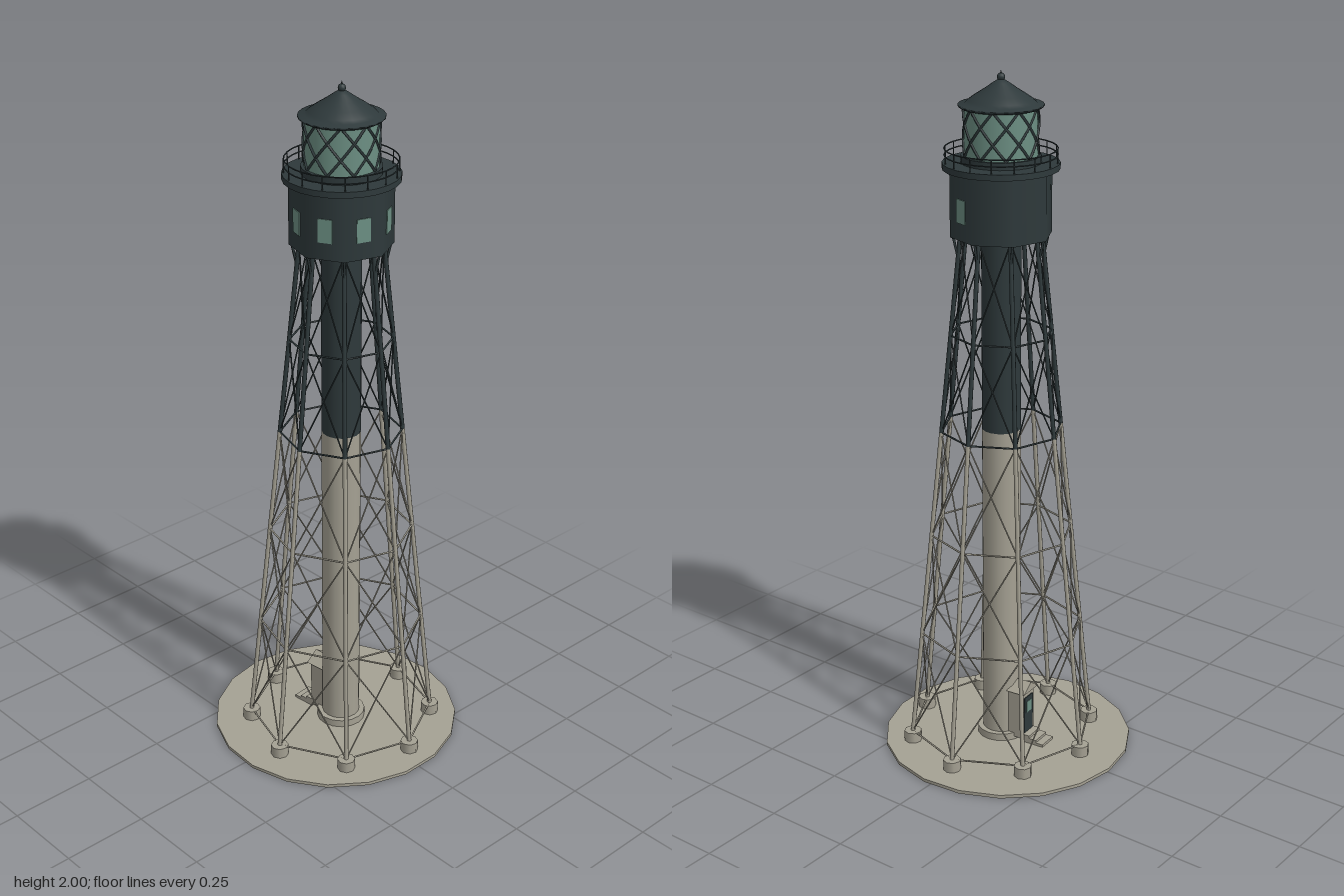
import * as THREE from 'three';

const mat = (name, color, side = THREE.FrontSide) => {
  const m = new THREE.MeshStandardMaterial({ color, side });
  m.name = name;
  return m;
};

export function createModel() {
  const model = new THREE.Group();
  const stone = mat('pale stone', 0xa5a193);
  const dark = mat('dark iron', 0x2e393b);
  const glass = mat('green glass', 0x6c8f83);

  // Tower stands slightly forward of the slab's centre and is turned a little
  const tower = new THREE.Group();
  tower.name = 'tower';
  tower.position.set(0.003, 0, 0.02);
  tower.rotation.y = THREE.MathUtils.degToRad(5.5);
  model.add(tower);

  const add = (name, geo, material, x = 0, y = 0, z = 0, parent = tower) => {
    const m = new THREE.Mesh(geo, material);
    m.name = name;
    m.position.set(x, y, z);
    parent.add(m);
    return m;
  };
  const drum = (name, r, y0, y1, sides, material, x = 0, z = 0) =>
    add(name, new THREE.CylinderGeometry(r, r, y1 - y0, sides), material, x, (y0 + y1) / 2, z);
  const up = new THREE.Vector3(0, 1, 0);
  const bar = (name, a, b, r, material, sides = 5) => {
    const d = b.clone().sub(a);
    const m = add(name, new THREE.CylinderGeometry(r, r, d.length(), sides), material);
    m.position.copy(a).add(b).multiplyScalar(0.5);
    m.quaternion.setFromUnitVectors(up, d.normalize());
  };
  const polar = (angle, r, y) => new THREE.Vector3(Math.cos(angle) * r, y, Math.sin(angle) * r);

  // Ground slab
  const slab = add('groundSlab', new THREE.CylinderGeometry(0.367, 0.367, 0.01, 19), stone, 0, 0.005, 0, model);
  slab.rotation.y = THREE.MathUtils.degToRad(-8.5);

  // Central stair column
  drum('columnFlange', 0.072, 0.01, 0.032, 16, stone);
  drum('lowerColumn', 0.056, 0.01, 0.985, 16, stone);
  drum('upperColumn', 0.056, 0.985, 1.56, 16, dark);

  // Eight leaning legs with ring ties and crossed braces
  const levels = [0.04, 0.36, 0.67, 0.985, 1.27, 1.555];
  const legRadius = (y) => 0.272 - 0.104 * (y - 0.04);
  const step = Math.PI / 4;
  for (let i = 0; i < 8; i++) {
    const a = i * step, b = a + step;
    const foot = polar(a, 0.272, 0);
    drum('footing', 0.026, 0.01, 0.042, 8, stone, foot.x, foot.z);
    levels.forEach((y, k) => {
      const material = k < 3 ? stone : dark;
      const p = polar(a, legRadius(y), y), q = polar(b, legRadius(y), y);
      bar('ringTie', p, q, 0.0028, material);
      if (k === levels.length - 1) return;
      const y2 = levels[k + 1];
      const p2 = polar(a, legRadius(y2), y2), q2 = polar(b, legRadius(y2), y2);
      bar('leg', p, p2, 0.0065, material, 8);
      bar('crossBrace', p, q2, 0.0022, material);
      bar('crossBrace', q, p2, 0.0022, material);
    });
    // Bracket under the watch room
    bar('bracket', polar(a, legRadius(1.49), 1.49), polar(a, 0.135, 1.553), 0.004, dark);
  }

  // Entrance porch, door and steps at the back
  add('porch', new THREE.BoxGeometry(0.066, 0.15, 0.06), stone, 0, 0.095, -0.062);
  const gable = new THREE.Shape([
    new THREE.Vector2(-0.04, 0), new THREE.Vector2(0.04, 0), new THREE.Vector2(0, 0.028),
  ]);
  add('porchRoof', new THREE.ExtrudeGeometry(gable, { depth: 0.07, bevelEnabled: false }), stone, 0, 0.17, -0.102);
  add('door', new THREE.BoxGeometry(0.046, 0.115, 0.004), dark, 0, 0.093, -0.093);
  add('doorPane', new THREE.BoxGeometry(0.024, 0.035, 0.003), glass, 0, 0.118, -0.0952);
  for (let i = 0; i < 3; i++) {
    const h = 0.024 - i * 0.008;
    add('step', new THREE.BoxGeometry(0.06, h, 0.023), stone, 0, 0.01 + h / 2, -0.1035 - i * 0.023);
  }

  // Octagonal watch room; windows on five sides
  drum('watchRoom', 0.143, 1.55, 1.74, 8, dark);
  const faceDistance = 0.143 * Math.cos(Math.PI / 8);
  for (let i = 0; i < 5; i++) {
    const a = (i + 0.5) * step;
    const p = polar(a, faceDistance, 1.632);
    const w = add('window', new THREE.BoxGeometry(0.04, 0.066, 0.005), glass, p.x, p.y, p.z);
    w.rotation.y = Math.PI / 2 - a;
  }

  // Gallery deck and railing
  drum('galleryDeck', 0.161, 1.735, 1.752, 24, dark);
  for (const y of [1.772, 1.79]) {
    const rail = add('galleryRail', new THREE.TorusGeometry(0.154, 0.002, 5, 32), dark, 0, y, 0);
    rail.rotation.x = Math.PI / 2;
  }
  for (let i = 0; i < 16; i++) {
    const a = (i * Math.PI) / 8;
    bar('railPost', polar(a, 0.154, 1.75), polar(a, 0.154, 1.79), 0.002, dark);
  }

  // Lantern room with a diagonal lattice
  drum('lanternSill', 0.11, 1.75, 1.772, 24, dark);
  drum('lanternGlass', 0.101, 1.77, 1.906, 24, glass);
  const bays = 9, twist = (Math.PI * 2 * 1.5) / bays;
  for (let i = 0; i < bays; i++) {
    for (const dir of [1, -1]) {
      const points = [];
      for (let k = 0; k <= 6; k++) {
        points.push(polar((i * Math.PI * 2) / bays + (dir * twist * k) / 6, 0.102, 1.772 + (0.132 * k) / 6));
      }
      add('latticeBar', new THREE.TubeGeometry(new THREE.CatmullRomCurve3(points), 10, 0.0037, 5), dark);
    }
  }

  // Flared roof with ball and spike
  const roof = [[0, 1.9], [0.11, 1.9], [0.117, 1.905], [0.117, 1.909], [0.098, 1.912], [0.09, 1.92],
    [0.07, 1.934], [0.045, 1.95], [0.022, 1.966], [0.01, 1.974], [0, 1.976]];
  add('lanternRoof', new THREE.LatheGeometry(roof.map(([r, y]) => new THREE.Vector2(r, y)), 24), dark);
  add('finialBall', new THREE.SphereGeometry(0.011, 12, 8), dark, 0, 1.981, 0);
  add('finialSpike', new THREE.ConeGeometry(0.005, 0.016, 8), dark, 0, 1.992, 0);

  return model;
}
